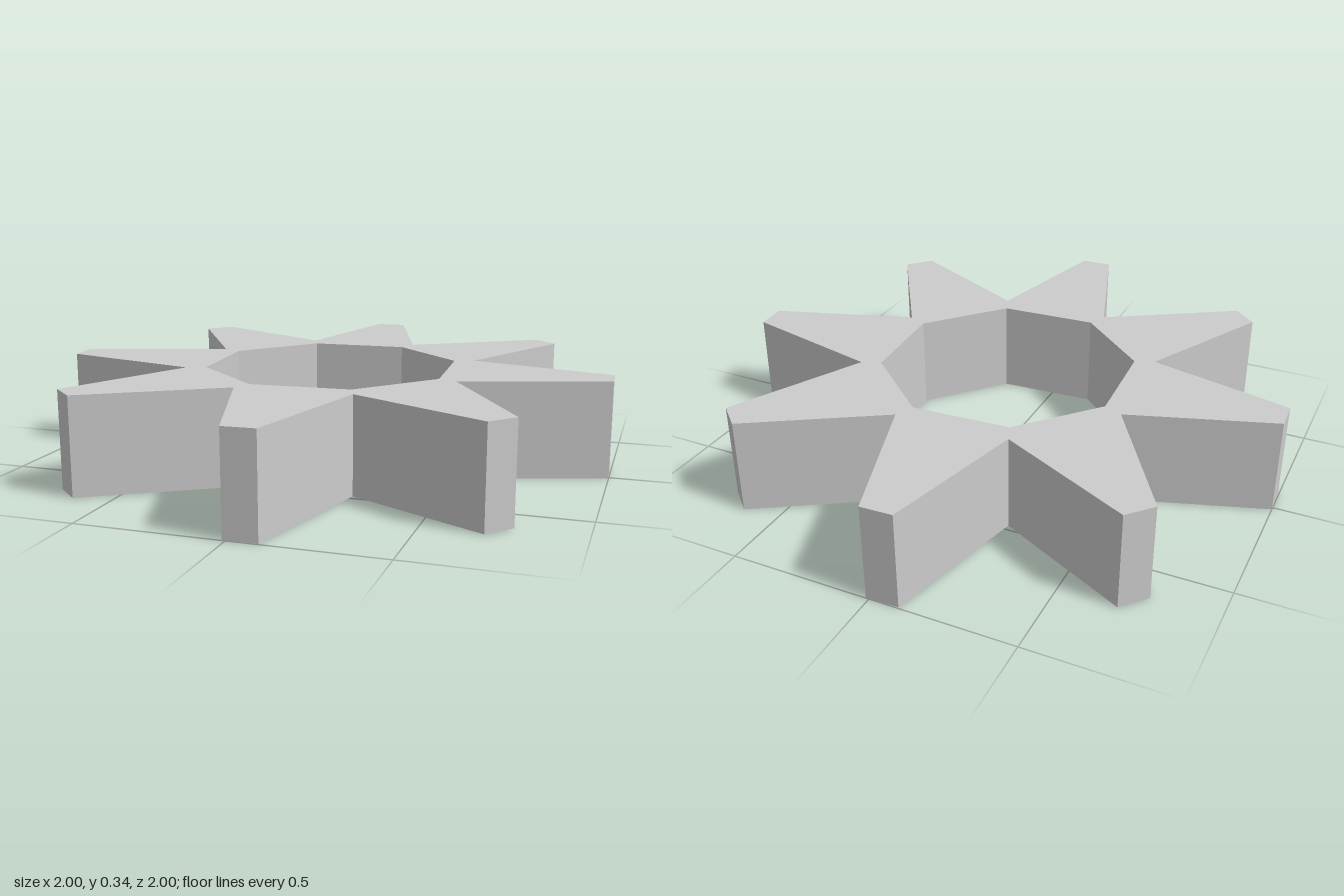
import * as THREE from 'three';

const TEETH = 8;
const HEIGHT = 0.34;

// Point at a radius and an angle in degrees
const polar = (r, deg) => {
  const a = THREE.MathUtils.degToRad(deg);
  return new THREE.Vector2(r * Math.cos(a), r * Math.sin(a));
};

export function createModel() {
  const group = new THREE.Group();
  group.name = 'starGear';

  // Each tooth: a valley, then the two corners of its narrow tip
  const outline = [];
  const bore = [];
  for (let i = 0; i < TEETH; i++) {
    const turn = (i * 360) / TEETH;
    outline.push(polar(0.528, 25.2 + turn), polar(1, 44.4 + turn), polar(1, 50.8 + turn));
    bore.push(polar(0.456, 25.8 + turn));
  }

  // Eight-sided bore through the middle
  const shape = new THREE.Shape(outline);
  shape.holes.push(new THREE.Path(bore));

  // Flat ring of teeth, laid down so that it stands on y = 0
  const geometry = new THREE.ExtrudeGeometry(shape, { depth: HEIGHT, bevelEnabled: false });
  geometry.rotateX(-Math.PI / 2);

  const ring = new THREE.Mesh(
    geometry,
    new THREE.MeshStandardMaterial({ color: 0xcccccc, flatShading: true })
  );
  ring.name = 'toothedRing';
  group.add(ring);
  return group;
}
